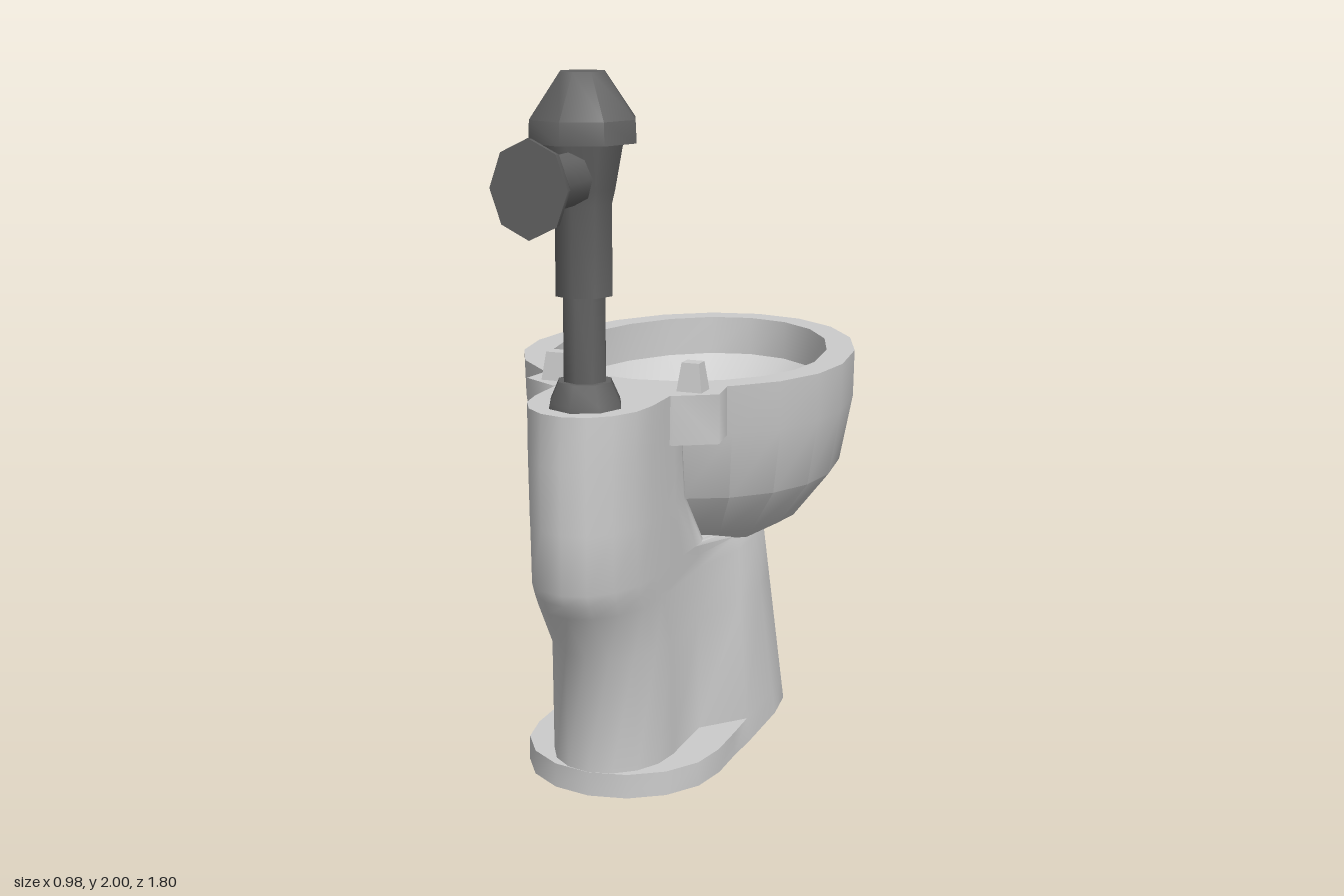
import * as THREE from 'three';
import { toCreasedNormals } from 'three/addons/utils/BufferGeometryUtils.js';

const china = new THREE.MeshStandardMaterial({ color: 0xcccccc, side: THREE.DoubleSide });
const metal = new THREE.MeshStandardMaterial({ color: 0x626262 });

function add(parent, name, geometry, material, crease) {
  const mesh = new THREE.Mesh(toCreasedNormals(geometry, crease), material);
  mesh.name = name;
  parent.add(mesh);
  return mesh;
}

// Skin a stack of equal-length rings; open at the first, closed at the last.
function loft(rings) {
  const n = rings[0].length;
  const positions = rings.flat().flatMap((p) => p.toArray());
  const index = [];
  for (let r = 0; r < rings.length - 1; r++) {
    for (let i = 0; i < n; i++) {
      const a = r * n + i, b = r * n + (i + 1) % n;
      index.push(a, b, b + n, a, b + n, a + n);
    }
  }
  const last = rings[rings.length - 1];
  const centre = new THREE.Vector3();
  last.forEach((p) => centre.addScaledVector(p, 1 / n));
  positions.push(...centre.toArray());
  const start = (rings.length - 1) * n;
  for (let i = 0; i < n; i++) index.push(start + i, start + (i + 1) % n, start + n);
  const g = new THREE.BufferGeometry();
  g.setAttribute('position', new THREE.Float32BufferAttribute(positions, 3));
  g.setIndex(index);
  return g;
}

// Egg-shaped ring: widest at mid, reaching from zMin to zMax.
function eggRing([y, halfWidth, zMin, mid, zMax]) {
  return Array.from({ length: 20 }, (_, i) => {
    const t = (i / 20) * Math.PI * 2, c = Math.cos(t);
    return new THREE.Vector3(halfWidth * Math.sin(t), y, mid + c * (c > 0 ? zMax - mid : mid - zMin));
  });
}

// Pedestal ring: a narrow round end at +z, a step outwards, a wider, squarer end at -z.
function footRing([y, zMax, narrow, narrowZ, stepZ, wideZ, wide, arcZ, zMin]) {
  const half = [];
  for (let i = 0; i <= 4; i++) {
    const t = (i / 8) * Math.PI;
    half.push([narrow * Math.sin(t), narrowZ + (zMax - narrowZ) * Math.cos(t)]);
  }
  half.push([narrow, stepZ], [wide, wideZ]);
  for (let i = 0; i <= 4; i++) {
    const t = (i / 8) * Math.PI;
    const across = i === 4 ? 0 : Math.cos(t) ** 0.75;
    half.push([wide * across, arcZ + (zMin - arcZ) * Math.sin(t) ** 0.75]);
  }
  const mirrored = half.slice(1, -1).reverse().map(([x, z]) => [-x, z]);
  return [...half, ...mirrored].map(([x, z]) => new THREE.Vector3(x, y, z));
}

export function createModel() {
  const model = new THREE.Group();
  model.name = 'toilet';

  // Bowl: up the outside, over the rim, down the inside to the drain
  add(model, 'bowl', loft([
    [0.565, 0.21, -0.46, -0.25, -0.05],
    [0.64, 0.34, -0.69, -0.25, 0.08],
    [0.78, 0.45, -0.84, -0.24, 0.20],
    [0.98, 0.488, -0.90, -0.23, 0.25],
    [1.12, 0.49, -0.905, -0.23, 0.27],
    [1.12, 0.405, -0.825, -0.23, 0.19],
    [1.0, 0.405, -0.82, -0.23, 0.19],
    [0.84, 0.29, -0.60, -0.19, 0.098],
    [0.71, 0.11, -0.27, -0.11, 0.0],
    [0.64, 0.06, -0.09, -0.06, -0.01],
  ].map(eggRing)), china, 0.5);

  // Hollow pedestal: floor flange with side ledges, then the column behind the bowl
  add(model, 'pedestal', loft([
    [0, 0.537, 0.285, 0.25, 0.12, 0.0, 0.29, -0.24, -0.513],
    [0.07, 0.537, 0.283, 0.25, 0.12, 0.0, 0.281, -0.24, -0.509],
    [0.07, 0.536, 0.174, 0.33, 0.12, 0.0, 0.281, -0.24, -0.509],
    [0.41, 0.55, 0.171, 0.34, 0.12, -0.05, 0.238, -0.24, -0.489],
    [0.56, 0.665, 0.17, 0.40, 0.12, -0.1, 0.217, -0.25, -0.48],
    [0.60, 0.685, 0.17, 0.43, 0.12, -0.1, 0.205, -0.24, -0.44],
    [0.635, 0.70, 0.17, 0.45, 0.25, 0.15, 0.172, 0.1, 0.03],
    [0.80, 0.70, 0.17, 0.47, 0.36, 0.30, 0.17, 0.24, 0.17],
    [0.98, 0.70, 0.17, 0.48, 0.37, 0.32, 0.17, 0.26, 0.20],
    [1.12, 0.69, 0.172, 0.48, 0.37, 0.32, 0.172, 0.26, 0.21],
  ].map(footRing)), china, 0.8).position.x = 0.004;

  // Seat mounting lugs and posts
  for (const s of [1, -1]) {
    const outline = [[0.14, 0.18], [0.275, 0.18], [0.29, 0.285], [0.18, 0.35], [0.14, 0.35]];
    const shape = new THREE.Shape(outline.map(([x, z]) => new THREE.Vector2(s * x, z)));
    const lug = new THREE.ExtrudeGeometry(shape, { depth: 0.14, bevelEnabled: false });
    lug.rotateX(Math.PI / 2);
    add(model, 'seatLug', lug, china, 1.3).position.set(0.004, 1.12, 0);

    const post = new THREE.CylinderGeometry(0.036, 0.052, 0.08, 4).rotateY(Math.PI / 4);
    post.scale(1, 1, 0.85);
    add(model, 'seatPost', post, china, 0.5).position.set(0.004 + s * 0.204, 1.16, 0.262);
  }

  // Flush valve: collar, pipe, body and cap turned as eight-sided lathes
  const valve = new THREE.Group();
  valve.name = 'flushValve';
  valve.position.set(0.008, 0, 0.543);
  model.add(valve);
  const turned = {
    collar: [[0, 1.11], [0.105, 1.11], [0.1, 1.135], [0.075, 1.19], [0, 1.19]],
    pipe: [[0.06, 1.17], [0.06, 1.44]],
    valveBody: [[0, 1.42], [0.08, 1.42], [0.08, 1.66], [0.09, 1.7], [0.115, 1.83]],
    cap: [[0, 1.82], [0.15, 1.82], [0.147, 1.88], [0.062, 2.0], [0, 2.0]],
  };
  for (const [name, points] of Object.entries(turned)) {
    const profile = points.map(([r, y]) => new THREE.Vector2(r, y));
    add(valve, name, new THREE.LatheGeometry(profile, 8), metal, 0.85);
  }

  // Handle arm and push knob
  const arm = new THREE.CylinderGeometry(0.07, 0.07, 0.31, 8).rotateX(Math.PI / 2);
  arm.scale(0.73, 1, 1);
  add(valve, 'handleArm', arm, metal, 0.9).position.set(0.007, 1.732, 0.155);
  const knobProfile = [[0, 0], [0.105, 0], [0.122, 0.03], [0.125, 0.052], [0, 0.052]];
  const knob = new THREE.LatheGeometry(knobProfile.map(([r, y]) => new THREE.Vector2(r, y)), 8);
  knob.rotateX(Math.PI / 2).scale(0.84, 1, 1);
  add(valve, 'handleKnob', knob, metal, 0.7).position.set(0.012, 1.735, 0.305);

  return model;
}
